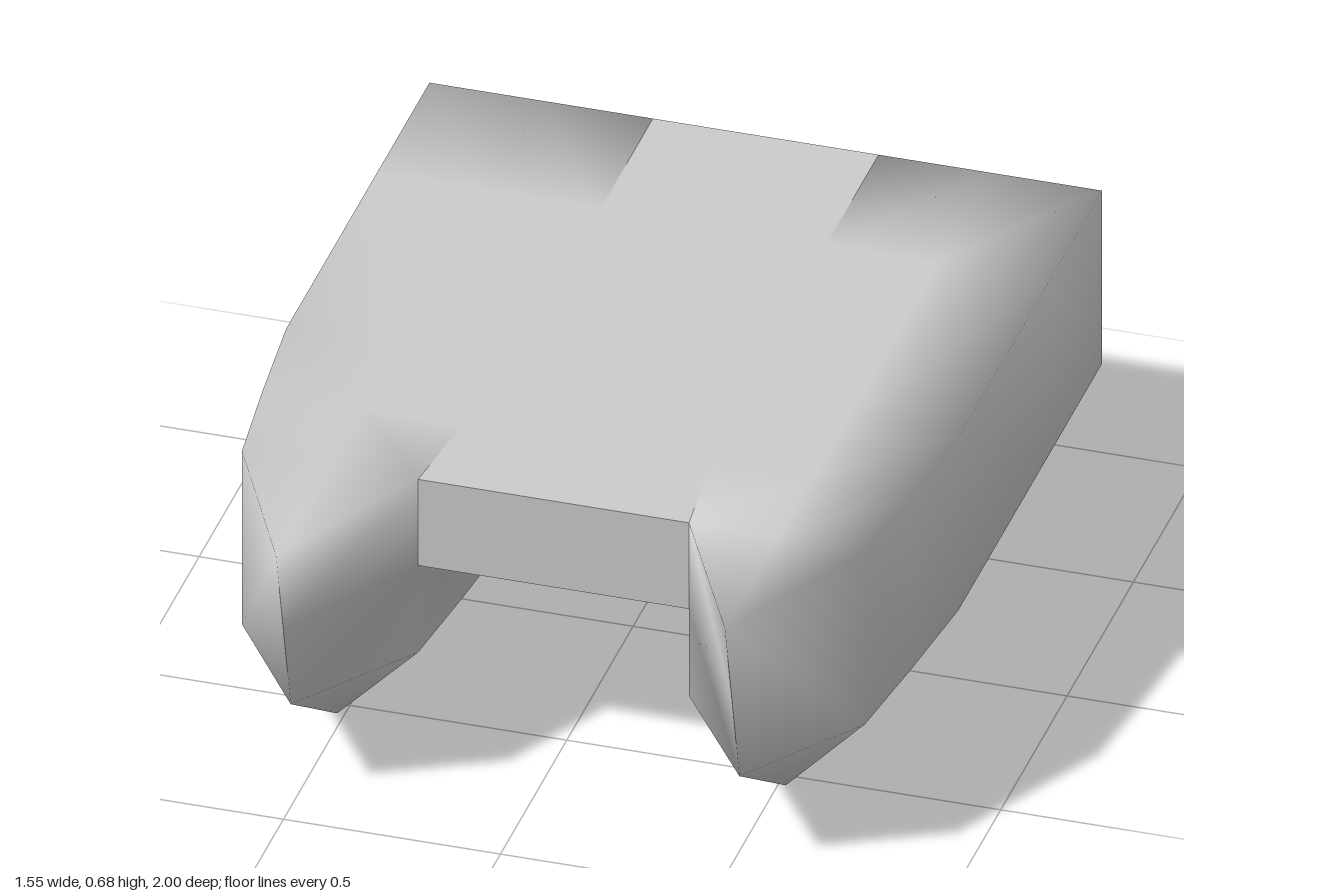
import * as THREE from 'three';
import { mergeVertices } from 'three/addons/utils/BufferGeometryUtils.js';

const TOP = 0.678, UNDER = 0.455, CHINE = 0.23, KEEL_X = 0.517;

// Stations from stern to bow shoulder: z, outer x, inner x
const stations = [
  [-1, 0.775, 0.26],
  [-0.6, 0.775, 0.26],
  [0.08, 0.775, 0.26],
  [0.35, 0.748, 0.285],
  [0.6, 0.718, 0.312],
];
const v = (x, y, z) => new THREE.Vector3(x, y, z);

// Cross-section of one hull: keel, outer side, top, inner side
const ring = ([z, out, inn]) => [
  v(KEEL_X, 0, Math.min(z, 0.54)),
  v(out, CHINE, z), v(out, TOP, z), v(KEEL_X, TOP, z),
  v(inn, TOP, z), v(inn, UNDER, z), v(inn, CHINE, z),
];

// Collects triangles together with their mirror images in x
class MirroredSurface {
  positions = [];
  tri(a, b, c) {
    const area = b.clone().sub(a).cross(c.clone().sub(a)).length();
    if (area < 1e-7) return;
    for (const p of [a, b, c]) this.positions.push(p.x, p.y, p.z);
    for (const p of [a, c, b]) this.positions.push(-p.x, p.y, p.z);
  }
  quad(a, b, c, d) {
    this.tri(a, b, c);
    this.tri(a, c, d);
  }
  mesh(name, flatShading) {
    let geometry = new THREE.BufferGeometry();
    geometry.setAttribute('position', new THREE.Float32BufferAttribute(this.positions, 3));
    if (!flatShading) geometry = mergeVertices(geometry, 1e-4);
    geometry.computeVertexNormals();
    const material = new THREE.MeshStandardMaterial({
      color: 0xcccccc, flatShading, side: THREE.DoubleSide,
    });
    const mesh = new THREE.Mesh(geometry, material);
    mesh.name = name;
    return mesh;
  }
}

export function createModel() {
  const group = new THREE.Group();
  group.name = 'catamaranHull';
  const hulls = new MirroredSurface();
  const deck = new MirroredSurface();
  const centre = (p) => v(0, p.y, p.z);

  // Sharp stem at the bow: every section point collapses onto the raked edge
  const rings = stations.map(ring);
  const stem = rings[0].map((p) => {
    const y = Math.max(p.y, CHINE);
    return v(KEEL_X, y, 0.89 + 0.11 * (y - CHINE) / (TOP - CHINE));
  });
  rings.push(stem);

  for (let s = 0; s < rings.length - 1; s++) {
    const a = rings[s], b = rings[s + 1];
    const isBow = s === rings.length - 2;
    for (let i = 0; i < 7; i++) {
      if (i === 4 && !isBow) continue; // the deck joins the hull here
      const j = (i + 1) % 7;
      hulls.quad(a[i], a[j], b[j], b[i]);
    }
    if (isBow) continue;
    // Tunnel roof and deck top between the hulls
    hulls.quad(b[5], centre(b[5]), centre(a[5]), a[5]);
    deck.quad(a[4], centre(a[4]), centre(b[4]), b[4]);
  }

  // Transoms
  const stern = rings[0];
  for (let i = 1; i < 6; i++) hulls.tri(stern[0], stern[i + 1], stern[i]);

  // Front and rear faces of the deck
  const front = rings[rings.length - 2];
  deck.quad(centre(front[5]), front[5], front[4], centre(front[4]));
  deck.quad(stern[5], centre(stern[5]), centre(stern[4]), stern[4]);

  group.add(hulls.mesh('twinHulls', false), deck.mesh('bridgeDeck', true));
  return group;
}
